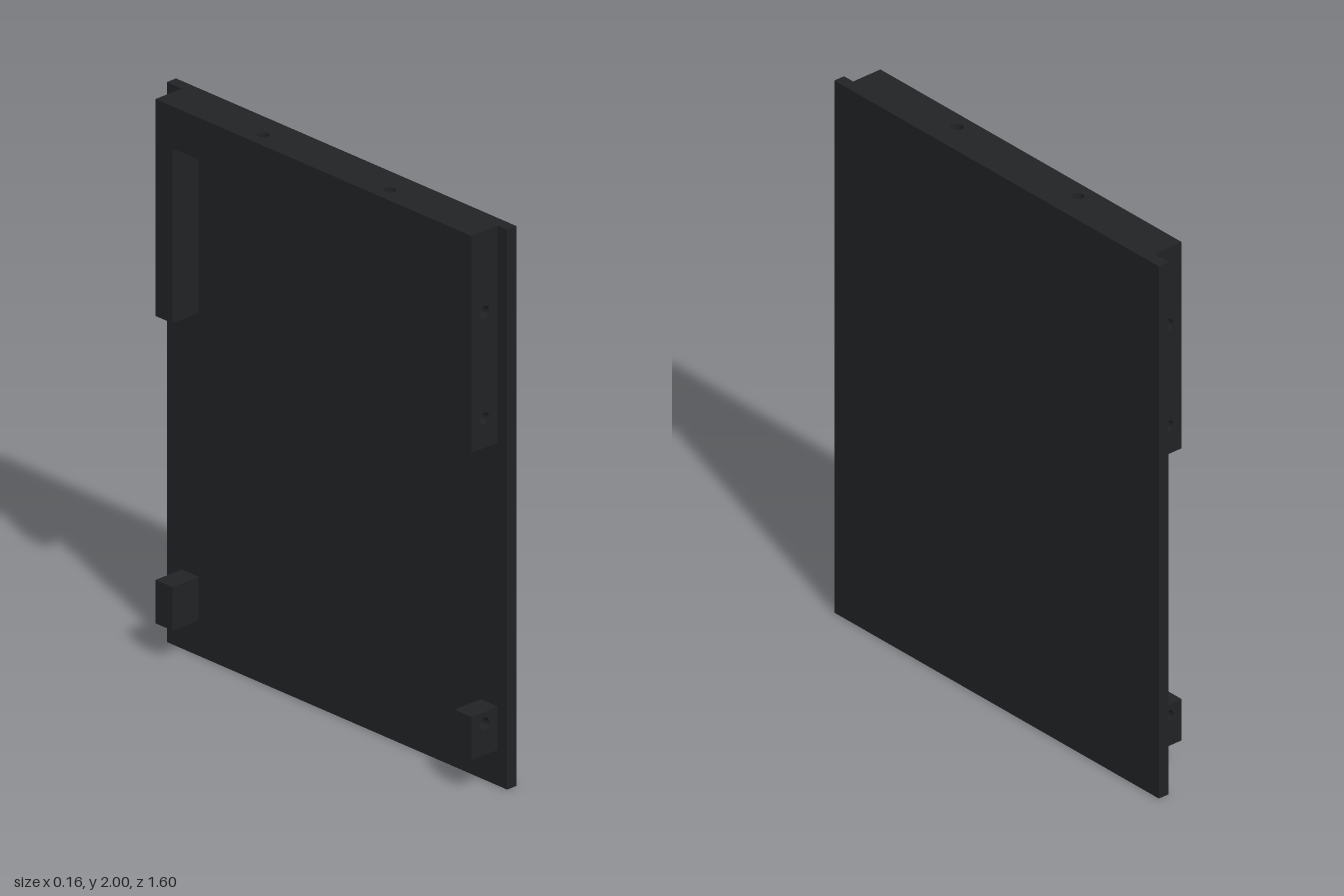
import * as THREE from 'three';

const dark = new THREE.MeshStandardMaterial({ color: 0x212325 });
const HOLE_R = 0.021, HOLE_DEPTH = 0.06;

function box(name, w, h, d, x, y, z) {
  const mesh = new THREE.Mesh(new THREE.BoxGeometry(w, h, d), dark);
  mesh.name = name;
  mesh.position.set(x, y, z);
  return mesh;
}

// Block centred on its origin, with blind holes [x, y] drilled into its +z face
function drilledBlock(name, w, h, d, holes) {
  const group = new THREE.Group();
  group.name = name;
  const shape = new THREE.Shape();
  shape.moveTo(-w / 2, -h / 2);
  shape.lineTo(w / 2, -h / 2);
  shape.lineTo(w / 2, h / 2);
  shape.lineTo(-w / 2, h / 2);
  shape.closePath();
  for (const [x, y] of holes) {
    shape.holes.push(new THREE.Path().absarc(x, y, HOLE_R, 0, Math.PI * 2, true));
  }
  const layer = new THREE.ExtrudeGeometry(shape, { depth: HOLE_DEPTH, bevelEnabled: false, curveSegments: 16 });
  const drilled = new THREE.Mesh(layer, dark);
  drilled.name = name + 'DrilledFace';
  drilled.position.z = d / 2 - HOLE_DEPTH;
  const core = d - HOLE_DEPTH;
  group.add(drilled, box(name + 'Core', w, h, core, 0, 0, -HOLE_DEPTH / 2));
  return group;
}

export function createModel() {
  const model = new THREE.Group();
  model.name = 'panelWithBrackets';

  // Flat panel
  model.add(box('panel', 0.042, 2, 1.6, 0.059, 1, 0));

  const x0 = -0.08, x1 = 0.038, w = x1 - x0, cx = (x0 + x1) / 2;
  const zBack = -0.73, zFront = 0.755, t = 0.08, holeX = -0.022 - cx;

  // Upper legs and lower blocks at both ends, drilled from outside
  for (const side of [1, -1]) {
    const end = side > 0 ? 'front' : 'back';
    const z = side > 0 ? zFront - t / 2 : zBack + t / 2;
    const parts = [
      [end + 'Leg', 1.225, 2, [1.71, 1.33]],
      [end + 'LowerBlock', 0.127, 0.282, [0.24]],
    ];
    for (const [name, y0, y1, holeYs] of parts) {
      const cy = (y0 + y1) / 2;
      // The back pieces are turned to face -z, so their hole offset flips
      const part = drilledBlock(name, w, y1 - y0, t, holeYs.map((y) => [holeX * side, y - cy]));
      part.position.set(cx, cy, z);
      if (side < 0) part.rotation.y = Math.PI;
      model.add(part);
    }
  }

  // Top rail between the legs, drilled from above
  const railH = 0.15, railZ = (zBack + zFront) / 2;
  const rail = drilledBlock('topRail', w, zFront - zBack - 2 * t, railH,
    [-0.285, 0.31].map((z) => [holeX, railZ - z]));
  rail.rotation.x = -Math.PI / 2;
  rail.position.set(cx, 2 - railH / 2, railZ);
  model.add(rail);

  return model;
}
